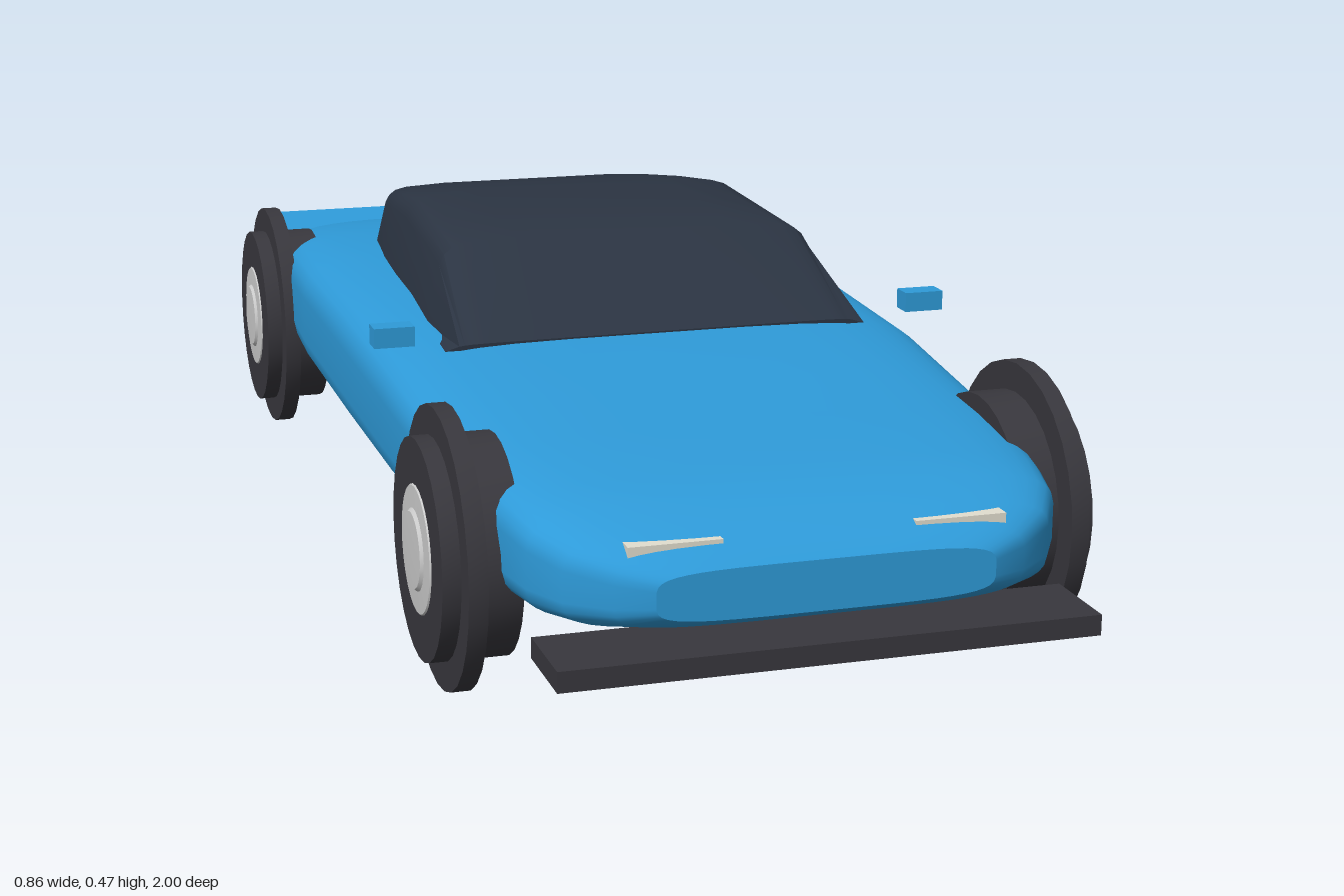
import * as THREE from 'three';
import { toCreasedNormals } from 'three/addons/utils/BufferGeometryUtils.js';

const paint = (color, opts = {}) => new THREE.MeshStandardMaterial({ color, ...opts });
const BLUE = paint(0x2e9ad8);
const GLASS = paint(0x2b3442);
const DARK = paint(0x38373d);
const RED = paint(0xc8352f);
const LAMP = paint(0xe2decf);
const METAL = paint(0xcccccc);

function part(parent, name, geometry, material, x = 0, y = 0, z = 0) {
  const mesh = new THREE.Mesh(geometry, material);
  mesh.name = name;
  mesh.position.set(x, y, z);
  parent.add(mesh);
  return mesh;
}

// Box given by its lower and upper corners
function block(parent, name, material, [x0, y0, z0], [x1, y1, z1]) {
  return part(parent, name, new THREE.BoxGeometry(x1 - x0, y1 - y0, z1 - z0), material,
    (x0 + x1) / 2, (y0 + y1) / 2, (z0 + z1) / 2);
}

// Skin over counter-clockwise rings running from front to back, with flat end caps
function loft(rings) {
  const n = rings[0].length, last = rings.length - 1;
  const points = rings.flat();
  const index = [];
  for (let i = 0; i < last; i++) {
    for (let j = 0; j < n; j++) {
      const k = (j + 1) % n;
      const a = i * n + j, b = i * n + k, c = b + n, d = a + n;
      index.push(a, d, c, a, c, b);
    }
  }
  const front = points.length, back = front + n;
  points.push(...rings[0], ...rings[last]);
  for (let j = 1; j < n - 1; j++) {
    index.push(front, front + j, front + j + 1, back, back + j + 1, back + j);
  }
  const geometry = new THREE.BufferGeometry().setFromPoints(points);
  geometry.setIndex(index);
  geometry.computeVertexNormals();
  return geometry;
}

// Body: rounded-rectangle sections [z, half width, bottom, top]
function bodyGeometry() {
  const sections = [
    [0.97, 0.21, 0.165, 0.228], [0.95, 0.255, 0.153, 0.243], [0.91, 0.305, 0.143, 0.262],
    [0.86, 0.335, 0.138, 0.28], [0.8, 0.348, 0.136, 0.292], [0.66, 0.372, 0.136, 0.307],
    [0.5, 0.383, 0.136, 0.318], [0.3, 0.39, 0.135, 0.34], [0, 0.392, 0.135, 0.35],
    [-0.3, 0.39, 0.136, 0.346], [-0.5, 0.38, 0.139, 0.336], [-0.65, 0.36, 0.143, 0.318],
    [-0.8, 0.333, 0.15, 0.292], [-0.88, 0.3, 0.158, 0.272], [-0.92, 0.26, 0.17, 0.25],
  ];
  const round = (v) => Math.sign(v) * Math.abs(v) ** (2 / 4.5);
  const steps = 40;
  return loft(sections.map(([z, w, bottom, top]) => Array.from({ length: steps }, (_, j) => {
    const a = ((j + 0.5) / steps) * Math.PI * 2;
    return new THREE.Vector3(w * round(Math.cos(a)),
      (top + bottom) / 2 + (top - bottom) / 2 * round(Math.sin(a)), z);
  })));
}

// Cabin: rounded trapezium sections [z, half width, top]
function cabinGeometry() {
  const sections = [
    [0.31, 0.302, 0.341], [0.15, 0.292, 0.45], [0, 0.284, 0.459], [-0.13, 0.278, 0.466],
    [-0.27, 0.268, 0.447], [-0.41, 0.25, 0.425], [-0.55, 0.207, 0.358],
  ];
  const half = [[1, 0], [0.935, 0.72], [0.91, 0.84], [0.87, 0.92], [0.8, 0.965], [0.55, 1]];
  const outline = [...half, ...half.map(([x, y]) => [-x, y]).reverse()];
  const base = 0.333;
  return toCreasedNormals(loft(sections.map(([z, w, top]) =>
    outline.map(([x, y]) => new THREE.Vector3(x * w, base + y * (top - base), z)))), 0.6);
}

// Lathed profile [radius, offset] turned to point along +x
function turned(profile, crease) {
  const geometry = new THREE.LatheGeometry(profile.map((p) => new THREE.Vector2(...p)), 28);
  return toCreasedNormals(geometry.rotateZ(-Math.PI / 2), crease);
}

export function createModel() {
  const car = new THREE.Group();
  car.name = 'sportsCar';

  part(car, 'body', bodyGeometry(), BLUE);
  part(car, 'cabinGlass', cabinGeometry(), GLASS);

  // Wheels: broad tyre with a thin raised tread ring and a domed hub
  const tyre = turned([[0, -0.05], [0.14, -0.05], [0.14, 0.003], [0.178, 0.003], [0.178, 0.027],
    [0.14, 0.027], [0.14, 0.05], [0, 0.05]], 0.5);
  const hub = turned([[0.083, 0.048], [0.08, 0.052], [0.052, 0.053], [0.048, 0.057], [0, 0.058]], 0.5);
  for (const side of [1, -1]) {
    for (const [end, z] of [['front', 0.66], ['rear', -0.61]]) {
      const wheel = new THREE.Group();
      wheel.name = `${end}${side > 0 ? 'Left' : 'Right'}Wheel`;
      wheel.position.set(side * 0.37, 0.178, z);
      wheel.rotation.y = side > 0 ? 0 : Math.PI;
      part(wheel, 'tyre', tyre, DARK);
      part(wheel, 'hub', hub, METAL);
      car.add(wheel);
    }

    // Paired fittings
    const label = side > 0 ? 'left' : 'right';
    const mirror = new THREE.BoxGeometry(0.055, 0.027, 0.032);
    part(car, `${label}Mirror`, mirror, BLUE, side * 0.378, 0.366, 0.328);
    const lamp = new THREE.BoxGeometry(0.115, 0.033, 0.034);
    part(car, `${label}Headlight`, lamp, LAMP, side * 0.177, 0.2365, 0.922);
    const pipe = new THREE.CylinderGeometry(0.018, 0.018, 0.15, 16).rotateX(Math.PI / 2);
    part(car, `${label}Exhaust`, pipe, METAL, side * 0.082, 0.168, -0.925);
  }

  // Bumpers, tail light and spoiler
  block(car, 'frontSplitter', DARK, [-0.335, 0.11, 0.885], [0.335, 0.136, 1]);
  block(car, 'rearDiffuser', DARK, [-0.295, 0.114, -0.955], [0.295, 0.15, -0.845]);
  block(car, 'tailLight', RED, [-0.275, 0.2, -0.94], [0.275, 0.23, -0.9]);
  const spoiler = block(car, 'spoiler', BLUE, [-0.335, 0.27, -0.888], [0.335, 0.288, -0.802]);
  spoiler.rotation.x = 0.2;

  return car;
}
